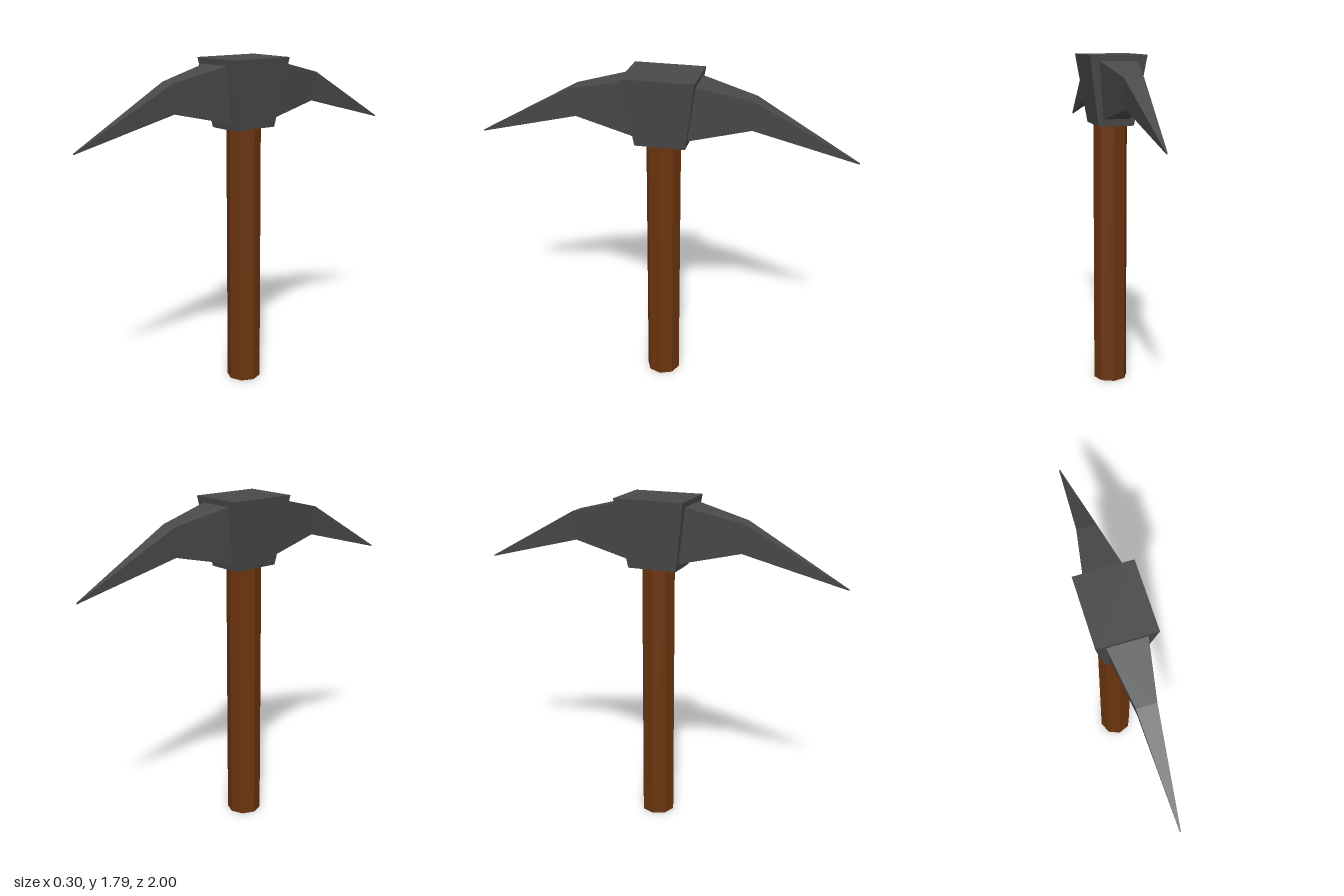
import * as THREE from 'three';

const iron = new THREE.MeshStandardMaterial({ color: 0x4a4a4a, flatShading: true });
const wood = new THREE.MeshStandardMaterial({ color: 0x6b340e, flatShading: true });

// Four-sided spike lofted through trapezoid sections, running towards +z
function spikeGeometry() {
  // top y, top z, top half-width, bottom y, bottom z, bottom half-width
  const sections = [
    [1.76, 0.18, 0.10, 1.46, 0.13, 0.07],
    [1.69, 0.47, 0.05, 1.535, 0.46, 0.035],
    [1.398, 1.0, 0.003, 1.392, 1.0, 0.002],
  ];
  const rings = sections.map(([ty, tz, tw, by, bz, bw]) => [
    [-tw, ty, tz], [tw, ty, tz], [bw, by, bz], [-bw, by, bz],
  ]);
  const points = [];
  const quad = (a, b, c, d) => points.push(...a, ...b, ...c, ...a, ...c, ...d);
  for (let i = 0; i < rings.length - 1; i++) {
    const p = rings[i], q = rings[i + 1];
    for (let k = 0; k < 4; k++) {
      const n = (k + 1) % 4;
      quad(p[k], q[k], q[n], p[n]);
    }
  }
  // end caps
  const [base, tip] = [rings[0], rings[rings.length - 1]];
  quad(base[0], base[1], base[2], base[3]);
  quad(tip[3], tip[2], tip[1], tip[0]);

  const geometry = new THREE.BufferGeometry();
  geometry.setAttribute('position', new THREE.Float32BufferAttribute(points, 3));
  geometry.computeVertexNormals();
  return geometry;
}

// Block that narrows towards the bottom
function blockGeometry() {
  const geometry = new THREE.BoxGeometry(0.30, 0.365, 0.374);
  const pos = geometry.attributes.position;
  for (let i = 0; i < pos.count; i++) {
    if (pos.getY(i) < 0) {
      pos.setX(i, Math.sign(pos.getX(i)) * 0.095);
      pos.setZ(i, Math.sign(pos.getZ(i)) * 0.132);
    }
  }
  geometry.computeVertexNormals();
  return geometry;
}

export function createModel() {
  const model = new THREE.Group();
  model.name = 'pickaxe';

  const add = (name, geometry, material) => {
    const mesh = new THREE.Mesh(geometry, material);
    mesh.name = name;
    model.add(mesh);
    return mesh;
  };

  // Octagonal handle, its top set into the head
  add('handle', new THREE.CylinderGeometry(0.092, 0.092, 1.5, 8), wood).position.y = 0.75;

  add('headBlock', blockGeometry(), iron).position.y = 1.6075;

  // Matching spikes at front and back
  const spike = spikeGeometry();
  add('frontSpike', spike, iron);
  add('backSpike', spike, iron).rotation.y = Math.PI;

  return model;
}
